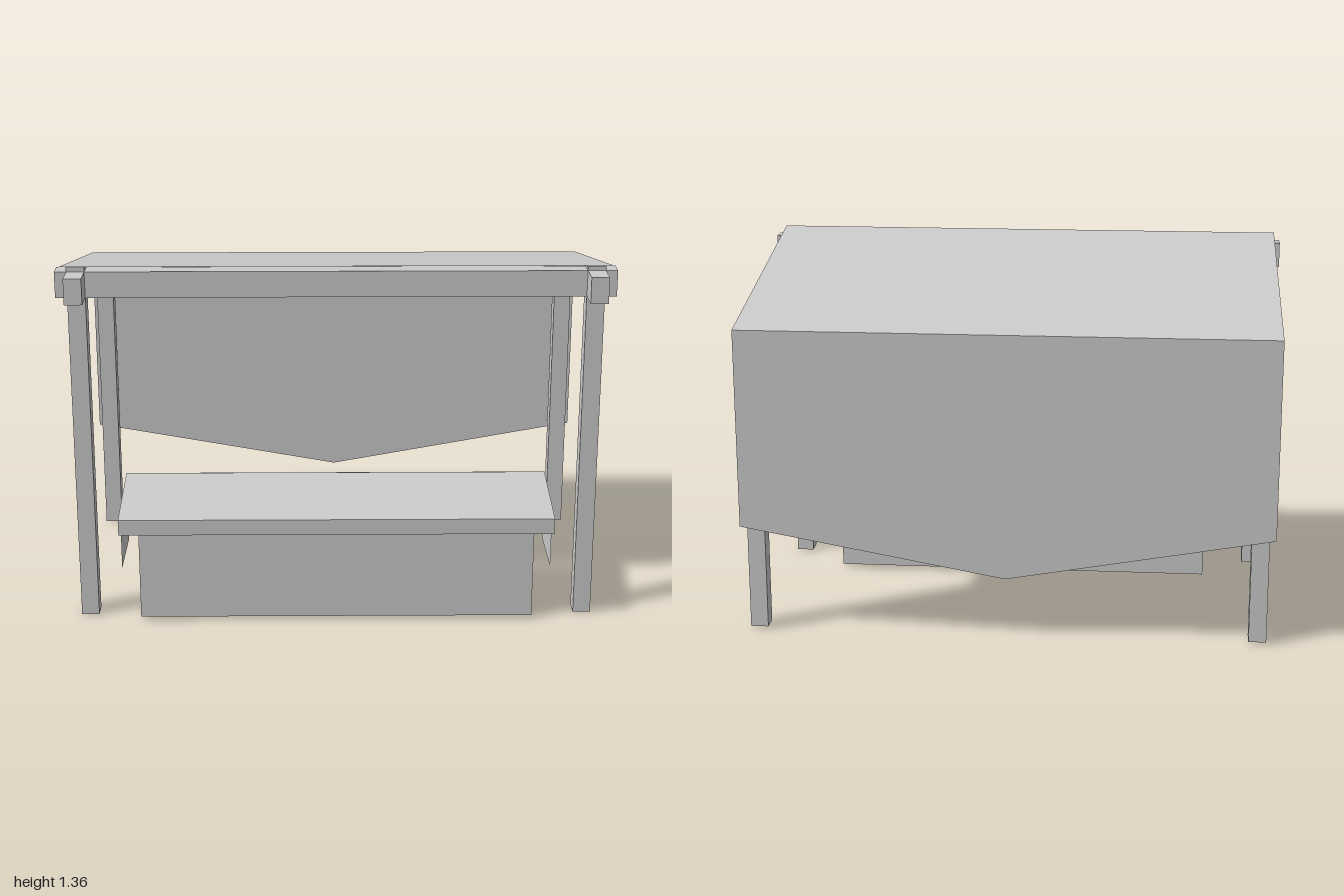
import * as THREE from 'three';

const grey = new THREE.MeshStandardMaterial({ color: 0xcccccc, flatShading: true });
const cloth = new THREE.MeshStandardMaterial({ color: 0xcccccc, flatShading: true, side: THREE.DoubleSide });

const shapeOf = (points) => new THREE.Shape(points.map(([a, b]) => new THREE.Vector2(a, b)));

export function createModel() {
  const model = new THREE.Group();

  const add = (name, geometry, material = grey) => {
    const mesh = new THREE.Mesh(geometry, material);
    mesh.name = name;
    model.add(mesh);
  };

  // Box given by its extents on each axis
  const box = (name, [x0, x1], [y0, y1], [z0, z1]) =>
    add(name, new THREE.BoxGeometry(x1 - x0, y1 - y0, z1 - z0)
      .translate((x0 + x1) / 2, (y0 + y1) / 2, (z0 + z1) / 2));

  // Side profile of [z, y] points, extruded along x about the given centre
  const sideProfile = (name, points, width, x) =>
    add(name, new THREE.ExtrudeGeometry(shapeOf(points.map(([z, y]) => [-z, y])),
      { depth: width, bevelEnabled: false })
      .translate(0, 0, -width / 2).rotateY(Math.PI / 2).translate(x, 0, 0));

  for (const side of [-1, 1]) {
    const x = side * 0.925;
    // Posts; the front ones are cut to the slope of the roof
    sideProfile('frontPost', [[0.434, 0], [0.367, 0], [0.367, 1.332], [0.434, 1.346]], 0.065, x);
    box('backPost', [x - 0.0325, x + 0.0325], [0.01, 1.147], [-0.521, -0.453]);
    // Rafter with a level stub in front of the post
    sideProfile('rafter', [[0.53, 1.235], [0.37, 1.235], [-0.455, 1.055],
      [-0.455, 1.147], [0.37, 1.33], [0.53, 1.33]], 0.064, x);
    // Cloth flap hanging over the end of the bench
    const flap = shapeOf([[-0.46, 0.2], [-0.195, 0.2], [-0.185, 0.44], [-0.46, 0.41]]);
    add('benchFlap', new THREE.ShapeGeometry(flap).rotateY(Math.PI / 2).translate(side * 0.797, 0, 0), cloth);
  }

  // Cross beams
  box('frontBeam', [-1, 1], [1.235, 1.33], [0.367, 0.434]);
  box('backBeam', [-0.895, 0.895], [1.057, 1.147], [-0.521, -0.453]);

  // Canopy sheet, sloping down to the back
  const front = { z: 0.46, y: 1.355 }, back = { z: -0.545, y: 1.15 };
  const dz = front.z - back.z, dy = front.y - back.y;
  add('canopy', new THREE.PlaneGeometry(1.96, Math.hypot(dz, dy))
    .rotateX(-Math.PI / 2 - Math.atan2(dy, dz))
    .translate(0, (front.y + back.y) / 2, (front.z + back.z) / 2), cloth);

  // Back curtain with a pointed lower edge
  const curtain = shapeOf([[-0.98, 1.15], [-0.98, 0.41], [0, 0.235], [0.98, 0.41], [0.98, 1.15]]);
  add('backCurtain', new THREE.ShapeGeometry(curtain).translate(0, 0, back.z), cloth);

  // Bench: solid base under a sloping seat
  box('benchBase', [-0.73, 0.73], [0.013, 0.41], [0.17, 0.488]);
  sideProfile('benchSeat', [[0.545, 0.366], [0.46, 0.372], [0.17, 0.41], [0.17, 0.466],
    [0.19, 0.473], [0.49, 0.433], [0.545, 0.425]], 1.594, 0);

  return model;
}
